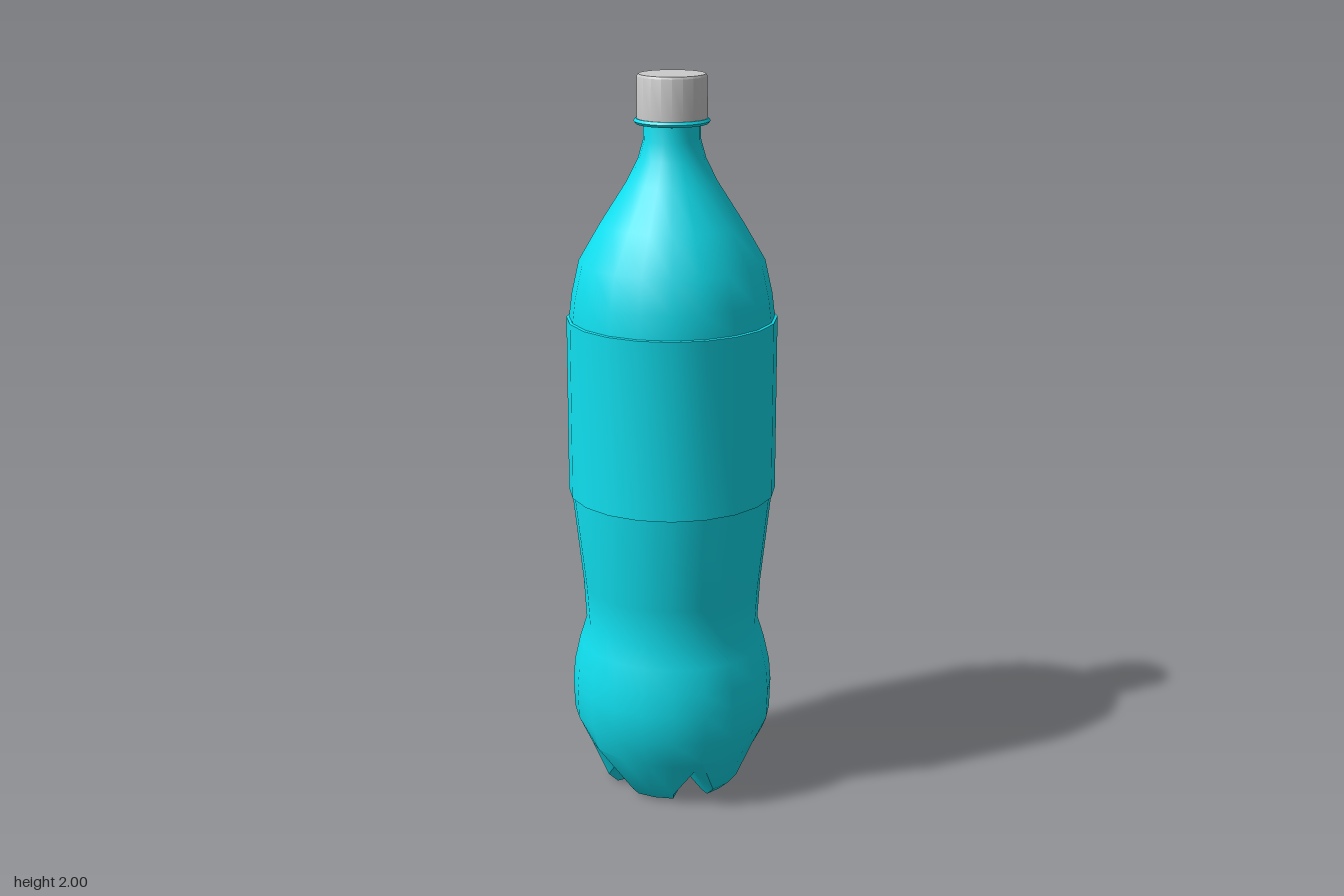
import * as THREE from 'three';
import { toCreasedNormals } from 'three/addons/utils/BufferGeometryUtils.js';

const SIDES = 20;
const plastic = new THREE.MeshStandardMaterial({ color: 0x10e0f0, side: THREE.DoubleSide });
const grey = new THREE.MeshStandardMaterial({ color: 0xcccccc });

// Lathe from [radius, y] pairs, listed from the bottom up
function lathe(profile) {
  return new THREE.LatheGeometry(profile.map(([r, y]) => new THREE.Vector2(r, y)), SIDES);
}

// Slightly oval cross-section: narrower front to back around the lower bulge
function makeOval(geometry) {
  const p = geometry.attributes.position;
  for (let i = 0; i < p.count; i++) {
    const t = THREE.MathUtils.smoothstep(p.getY(i), 0.3, 0.87);
    p.setZ(i, p.getZ(i) * THREE.MathUtils.lerp(0.95, 1.025, t));
  }
  return geometry;
}

function part(name, geometry, material, crease = 0.7) {
  const mesh = new THREE.Mesh(toCreasedNormals(makeOval(geometry), crease), material);
  mesh.name = name;
  return mesh;
}

// Body with five feet: every fourth column of the base becomes a groove
function bodyGeometry() {
  const foot = [[0, 0.05], [0.09, 0.03], [0.14, 0.003], [0.165, 0], [0.192, 0.025], [0.238, 0.13]];
  const groove = [[0, 0.05], [0.06, 0.053], [0.1, 0.058], [0.14, 0.068], [0.19, 0.09], [0.258, 0.145]];
  const wall = [
    [0.278, 0.215], [0.281, 0.3], [0.276, 0.36], [0.26, 0.43], [0.241, 0.49],
    [0.247, 0.6], [0.276, 0.87], [0.276, 1.355], [0.268, 1.42], [0.248, 1.51],
    [0.19, 1.61], [0.12, 1.72], [0.09, 1.78], [0.076, 1.83], [0.075, 1.9],
  ];
  const profile = [...foot, ...wall];
  const geometry = lathe(profile);
  const p = geometry.attributes.position;
  for (let i = 2; i <= SIDES; i += 4) {
    const angle = (i / SIDES) * Math.PI * 2;
    groove.forEach(([r, y], j) =>
      p.setXYZ(i * profile.length + j, r * Math.sin(angle), y, r * Math.cos(angle)));
  }
  return geometry;
}

export function createModel() {
  const bottle = new THREE.Group();
  bottle.name = 'bottle';

  bottle.add(part('body', bodyGeometry(), plastic));

  // Label sleeve standing just proud of the body
  bottle.add(part('labelSleeve',
    lathe([[0.275, 0.868], [0.283, 0.87], [0.283, 1.355], [0.275, 1.357]]), plastic));

  // Collar below the cap
  bottle.add(part('neckRing',
    lathe([[0.07, 1.868], [0.096, 1.872], [0.101, 1.879], [0.096, 1.886], [0.07, 1.886]]), plastic));

  // Screw cap with a fine bevel at the top
  bottle.add(part('cap',
    lathe([[0, 1.884], [0.093, 1.884], [0.092, 1.994], [0.088, 2], [0, 2]]), grey, 0.6));

  return bottle;
}
